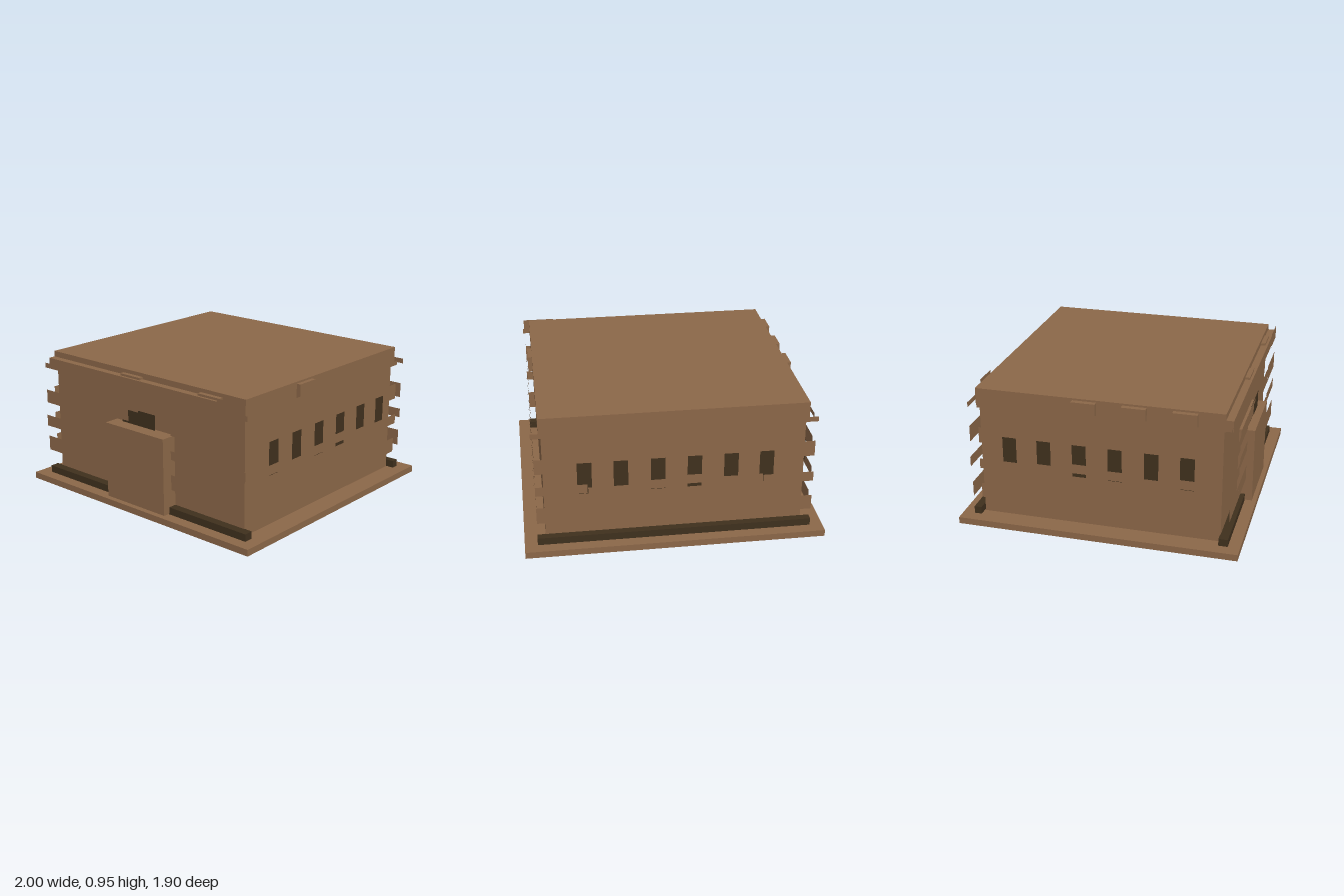
import * as THREE from 'three';

export function createModel() {
  const model = new THREE.Group();
  model.name = 'stoneBlockhouse';
  const stone = new THREE.MeshStandardMaterial({ color: 0x8b6748, side: THREE.DoubleSide });
  stone.name = 'brown stone';
  const dark = new THREE.MeshStandardMaterial({ color: 0x3f301d, side: THREE.DoubleSide });
  dark.name = 'dark recess';

  // Box given by its limits on each axis
  function box(parent, name, mat, x0, x1, y0, y1, z0, z1) {
    const mesh = new THREE.Mesh(new THREE.BoxGeometry(x1 - x0, y1 - y0, z1 - z0), mat);
    mesh.position.set((x0 + x1) / 2, (y0 + y1) / 2, (z0 + z1) / 2);
    mesh.name = name;
    parent.add(mesh);
  }

  // Flat facing sheet standing clear of the wall at distance z
  function panel(parent, name, mat, x0, x1, y0, y1, z) {
    const mesh = new THREE.Mesh(new THREE.PlaneGeometry(x1 - x0, y1 - y0), mat);
    mesh.position.set((x0 + x1) / 2, (y0 + y1) / 2, z);
    mesh.name = name;
    parent.add(mesh);
  }

  // Wall group: local x runs along the wall, local z points outwards
  function wall(name, turn) {
    const g = new THREE.Group();
    g.name = name;
    g.rotation.y = turn;
    model.add(g);
    return g;
  }

  // Main masses
  box(model, 'baseSlab', stone, -1, 1, 0, 0.045, -0.95, 0.95);
  box(model, 'body', stone, -0.859, 0.859, 0.045, 0.84, -0.812, 0.812);
  box(model, 'roof', stone, -0.875, 0.875, 0.83, 0.95, -0.83, 0.823);
  box(model, 'door', stone, -0.265, 0.265, 0.05, 0.58, 0.8, 0.92);
  box(model, 'frontPlinth', dark, -0.915, 0.915, 0.045, 0.095, 0.808, 0.87);
  box(model, 'backPlinth', dark, -0.915, 0.915, 0.045, 0.095, -0.87, -0.82);

  // Stone courses: [bottom, top] of the six stones in each row
  const courses = [
    [[0.21, 0.325], [0.185, 0.29], [0.18, 0.29], [0.21, 0.32], [0.21, 0.32], [0.175, 0.28]],
    [[0.42, 0.485], [0.39, 0.46], [0.42, 0.485], [0.44, 0.505], [0.405, 0.475], [0.395, 0.465]],
    [[0.575, 0.68], [0.58, 0.68], [0.61, 0.72], [0.6, 0.7], [0.57, 0.67], [0.58, 0.69]],
  ];
  const courseDepth = [0, 0.008, 0];
  const windowCentres = [-0.595, -0.36, -0.12, 0.12, 0.36, 0.595];
  const joint = 0.002;

  // Facing with three courses and six windows
  function windowWall(g, face, edges, mirrored) {
    courses.forEach((row, r) => row.forEach((_, i) => {
      const [y0, y1] = row[mirrored ? 5 - i : i];
      panel(g, 'wallStone', stone, edges[i] + joint, edges[i + 1] - joint, y0, y1, face + courseDepth[r]);
    }));
    for (const u of windowCentres) {
      panel(g, 'window', dark, u - 0.047, u + 0.047, 0.415, 0.64, face + 0.004);
    }
  }

  const sideEdges = [-0.81, -0.54, -0.275, 0, 0.27, 0.54, 0.81];
  const backEdges = [-0.915, -0.575, -0.288, 0, 0.288, 0.575, 0.915];
  const sideFace = 0.91, endFace = 0.87;
  const right = wall('rightWall', Math.PI / 2);
  const left = wall('leftWall', -Math.PI / 2);
  const back = wall('backWall', Math.PI);
  const front = wall('frontWall', 0);
  windowWall(right, sideFace, sideEdges, false);
  windowWall(left, sideFace, sideEdges, true);
  windowWall(back, endFace, backEdges, false);

  // Front stones either side of the door: [x0, x1, y0, y1]
  const frontStones = [
    [-0.915, -0.58, 0.22, 0.325], [-0.578, -0.285, 0.22, 0.325],
    [0.29, 0.57, 0.225, 0.33], [0.573, 0.91, 0.195, 0.325],
    [-0.925, -0.58, 0.4, 0.48], [-0.57, -0.29, 0.44, 0.51],
    [0.29, 0.57, 0.435, 0.495], [0.573, 0.915, 0.435, 0.505],
    [-0.915, -0.58, 0.575, 0.67], [-0.578, -0.287, 0.605, 0.71],
    [-0.285, 0, 0.615, 0.71], [0.29, 0.57, 0.6, 0.71], [0.573, 0.91, 0.6, 0.72],
  ];
  for (const s of frontStones) panel(front, 'wallStone', stone, ...s, endFace + 0.004);
  panel(front, 'ventSurround', dark, -0.155, 0.15, 0.6, 0.705, endFace);
  panel(front, 'vent', dark, -0.09, 0.085, 0.615, 0.695, endFace + 0.008);

  // Cornice beneath the roof edge
  box(front, 'corniceBand', stone, -0.875, 0.875, 0.835, 0.91, 0.82, 0.872);
  for (const g of [front, back]) {
    panel(g, 'corniceStrip', stone, -0.925, 0.925, 0.83, 0.865, endFace - 0.002);
  }
  for (const g of [right, left]) {
    panel(g, 'corniceStrip', stone, -0.81, 0.81, 0.83, 0.86, sideFace);
  }

  // Parapet blocks around the roof
  for (const x of [-0.178, 0.51]) {
    box(front, 'parapetBlock', stone, x, x + 0.178, 0.83, 0.925, 0.82, 0.855);
  }
  panel(front, 'parapetCornerPlate', stone, 0.69, 0.915, 0.835, 0.933, endFace + 0.006);
  panel(back, 'parapetPlate', stone, 0.51, 0.69, 0.835, 0.933, endFace);
  box(right, 'parapetBlock', stone, -0.32, -0.16, 0.83, 0.937, 0.87, 0.904);
  for (const z of [-0.17, 0.16, 0.49]) {
    box(left, 'parapetBlock', stone, z, z + 0.16, 0.83, 0.937, 0.87, 0.91);
  }
  return model;
}
